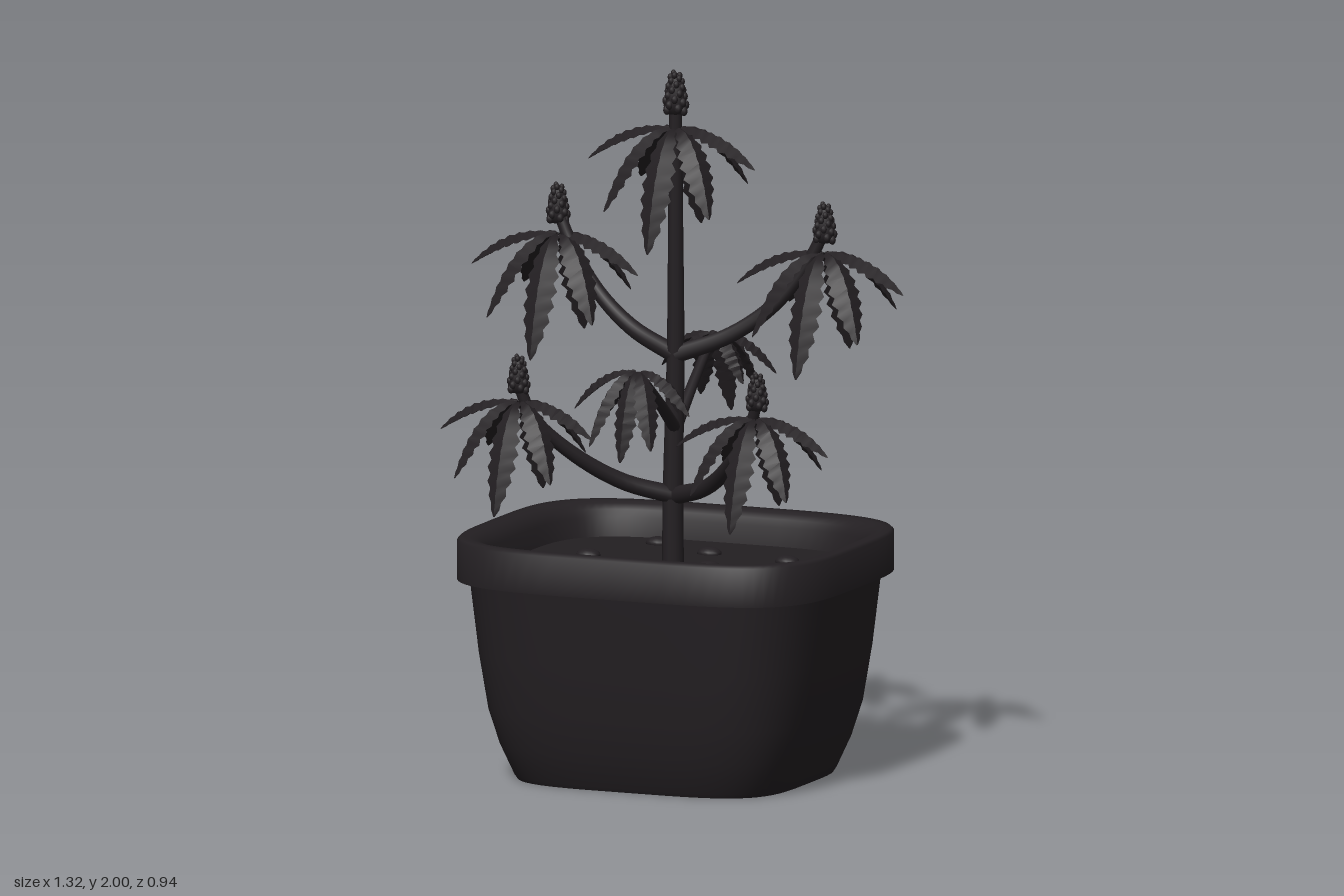
import * as THREE from 'three';
import { toCreasedNormals } from 'three/addons/utils/BufferGeometryUtils.js';

const material = new THREE.MeshStandardMaterial({ color: 0x231f22 });
const V = (x, y, z) => new THREE.Vector3(x, y, z);
const rad = THREE.MathUtils.degToRad;

function addMesh(parent, name, geometry) {
  const mesh = new THREE.Mesh(geometry, material);
  mesh.name = name;
  parent.add(mesh);
  return mesh;
}

// Skin over rounded-rectangle rings [halfX, halfZ, y], listed bottom to top.
function ringSkin(rings, segments = 72) {
  const pos = [], index = [];
  const soft = (v) => Math.sign(v) * Math.sqrt(Math.abs(v));
  for (const [hx, hz, y] of rings) {
    for (let i = 0; i < segments; i++) {
      const a = (i / segments) * Math.PI * 2;
      pos.push(hx * soft(Math.cos(a)), y, hz * soft(Math.sin(a)));
    }
  }
  for (let r = 0; r < rings.length - 1; r++) {
    for (let i = 0; i < segments; i++) {
      const j = (i + 1) % segments;
      const a = r * segments + i, b = r * segments + j;
      const c = a + segments, d = b + segments;
      index.push(a, c, b, b, c, d);
    }
  }
  const g = new THREE.BufferGeometry();
  g.setAttribute('position', new THREE.Float32BufferAttribute(pos, 3));
  g.setIndex(index);
  return toCreasedNormals(g, 0.9);
}

// Tube along points, narrowing from radius r0 to r1.
function taperedTube(points, r0, r1) {
  const curve = new THREE.CatmullRomCurve3(points);
  const steps = 20, sides = 10;
  const g = new THREE.TubeGeometry(curve, steps, r0, sides);
  const p = g.attributes.position, v = new THREE.Vector3();
  for (let i = 0; i < p.count; i++) {
    const t = Math.floor(i / (sides + 1)) / steps;
    const centre = curve.getPointAt(t);
    v.fromBufferAttribute(p, i).sub(centre).multiplyScalar(1 + (r1 / r0 - 1) * t).add(centre);
    p.setXYZ(i, v.x, v.y, v.z);
  }
  return g;
}

// Drooping saw-edged leaflet: a thin solid with folded sides and a knobbly midrib.
function leaflet(angle, out, drop, width) {
  const curve = new THREE.QuadraticBezierCurve(
    new THREE.Vector2(0.008, 0), new THREE.Vector2(out * 0.58, 0.005), new THREE.Vector2(out, -drop));
  const rows = 18, pos = [], index = [];
  for (let i = 0; i <= rows; i++) {
    const t = i / rows;
    const c = curve.getPointAt(t), k = curve.getTangentAt(t);
    const env = Math.pow(Math.max(0, Math.sin(Math.PI * t)), 0.8);
    const w = width * (i % 2 ? 1 : 0.72) * env + 0.002;
    const top = (i % 2 ? 0.009 : 0.004) * env + 0.001;
    // Section corners as [sideways, along the surface normal]
    for (const [s, n] of [[-w, -w * 0.35], [0, top], [w, -w * 0.35], [0, -0.012 * env - 0.001]]) {
      pos.push(s, c.y + k.x * n, c.x - k.y * n);
    }
    if (i === rows) break;
    for (let j = 0; j < 4; j++) {
      const a = i * 4 + j, b = i * 4 + (j + 1) % 4;
      index.push(a, a + 4, b, b, a + 4, b + 4);
    }
  }
  const g = new THREE.BufferGeometry();
  g.setAttribute('position', new THREE.Float32BufferAttribute(pos, 3));
  g.setIndex(index);
  g.rotateY(angle);
  return toCreasedNormals(g, 0.5);
}

// Leaflets as [degrees from front, reach, drop]
const fullFan = [
  [0, 0.2, 0.33], [180, 0.18, 0.3], [84, 0.255, 0.1], [-84, 0.255, 0.1],
  [50, 0.21, 0.23], [-50, 0.21, 0.23], [129, 0.21, 0.17], [-129, 0.21, 0.17],
];
const tipFan = [
  [0, 0.13, 0.24], [36, 0.16, 0.2], [-36, 0.16, 0.2], [76, 0.18, 0.11],
  [-76, 0.18, 0.11], [112, 0.12, 0.13], [-112, 0.12, 0.13],
];

function leafFan(parent, name, at, list, size, width, turn = 0) {
  const fan = new THREE.Group();
  fan.name = name;
  fan.position.copy(at);
  fan.rotation.y = turn;
  for (const [deg, out, drop] of list) {
    addMesh(fan, 'leaflet', leaflet(rad(deg), out * size, drop * size, width));
  }
  parent.add(fan);
}

// Knobbly flower bud: tapering core covered by a spiral of small bumps.
function flowerBud(parent, name, base, size) {
  const bud = new THREE.Group();
  bud.name = name;
  bud.position.copy(base);
  bud.scale.setScalar(size);
  const profile = [[0, -0.005], [0.022, 0], [0.031, 0.025], [0.027, 0.06], [0.016, 0.1], [0, 0.12]];
  addMesh(bud, 'budCore', new THREE.LatheGeometry(profile.map(([x, y]) => new THREE.Vector2(x, y)), 12));
  const bump = new THREE.IcosahedronGeometry(0.011, 1);
  for (let i = 0; i < 34; i++) {
    const t = i / 33, a = i * 2.4;
    const r = 0.031 * Math.sqrt(1 - t * 0.85) * (0.8 + 0.2 * Math.min(1, t * 6));
    const b = addMesh(bud, 'budBump', bump);
    b.position.set(Math.cos(a) * r, 0.008 + t * 0.105, Math.sin(a) * r);
    b.scale.set(1, 1.3, 1).multiplyScalar(1 - t * 0.3);
  }
  parent.add(bud);
}

export function createModel() {
  const model = new THREE.Group();
  model.name = 'pottedPlant';

  // Pot: closed base, flared wall, overhanging rim and inner lip
  addMesh(model, 'pot', ringSkin([
    [0, 0, 0], [0.405, 0.345, 0], [0.412, 0.352, 0.012], [0.45, 0.382, 0.1], [0.48, 0.405, 0.2],
    [0.505, 0.424, 0.36], [0.528, 0.444, 0.568], [0.56, 0.472, 0.568],
    [0.56, 0.472, 0.678], [0.553, 0.465, 0.686], [0.53, 0.443, 0.686], [0.51, 0.425, 0.68],
    [0.492, 0.41, 0.666], [0.48, 0.4, 0.645], [0.465, 0.388, 0.575],
  ]));
  addMesh(model, 'soil', ringSkin([[0.472, 0.394, 0.592], [0.24, 0.2, 0.595], [0, 0, 0.596]]));

  // Pebbles on the soil
  const pebble = new THREE.SphereGeometry(0.036, 14, 10);
  for (const [x, z] of [[-0.18, -0.29], [0.02, -0.19], [0.16, 0.17], [-0.09, 0.29],
    [0.38, 0.11], [-0.28, -0.03], [0.275, -0.15], [0.11, 0.02]]) {
    const p = addMesh(model, 'pebble', pebble);
    p.position.set(x, 0.597, z);
    p.scale.set(1, 0.5, 0.8);
  }

  // Main stem with the crown
  addMesh(model, 'stem', taperedTube(
    [V(-0.008, 0.58, 0), V(-0.008, 0.8, 0), V(0, 1.2, 0), V(0, 1.6, 0), V(0, 1.9, 0)], 0.031, 0.018));
  leafFan(model, 'crownLeaves', V(0, 1.835, 0), fullFan, 1, 0.047);
  flowerBud(model, 'crownBud', V(0, 1.875, 0), 1);

  // Mirrored side branches, each ending in a leaf fan and a bud
  for (const [side, s] of [['left', 1], ['right', -1]]) {
    addMesh(model, side + 'UpperBranch', taperedTube([
      V(0, 1.19, 0), V(s * 0.15, 1.25, -0.04), V(s * 0.27, 1.34, -0.075),
      V(s * 0.36, 1.46, -0.1), V(s * 0.405, 1.55, -0.11)], 0.026, 0.017));
    leafFan(model, side + 'UpperLeaves', V(s * 0.405, 1.49, -0.11), fullFan, 1, 0.047);
    flowerBud(model, side + 'UpperBud', V(s * 0.407, 1.52, -0.11), 0.93);

    addMesh(model, side + 'LowerBranch', taperedTube([
      V(0, 0.79, 0), V(s * 0.13, 0.835, 0.08), V(s * 0.25, 0.93, 0.18),
      V(s * 0.33, 1.03, 0.245), V(s * 0.363, 1.12, 0.265)], 0.026, 0.016));
    leafFan(model, side + 'LowerLeaves', V(s * 0.36, 1.075, 0.265), fullFan, 0.91, 0.043);
    flowerBud(model, side + 'LowerBud', V(s * 0.364, 1.1, 0.265), 0.88);
  }

  // Straight front and back leaf stalks
  for (const [end, s] of [['front', 1], ['back', -1]]) {
    addMesh(model, end + 'LeafStalk', taperedTube(
      [V(0, 0.98, 0), V(s * 0.015, 1.09, s * 0.165), V(s * 0.03, 1.195, s * 0.335)], 0.018, 0.012));
    leafFan(model, end + 'StalkLeaves', V(s * 0.03, 1.197, s * 0.33), tipFan, 1, 0.034, s > 0 ? 0 : Math.PI);
  }
  return model;
}
